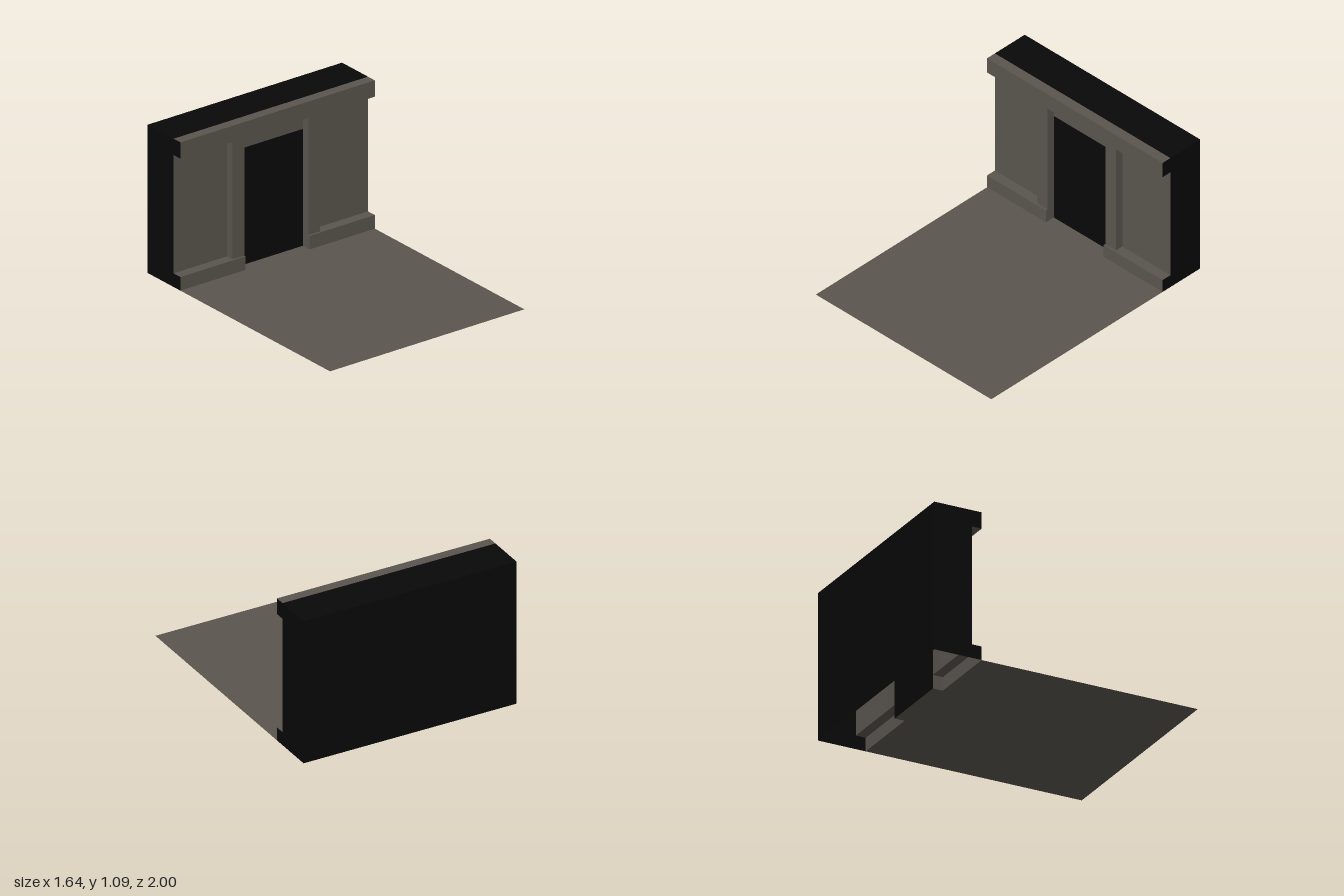
import * as THREE from 'three';

export function createModel() {
  const model = new THREE.Group();
  model.name = 'doorwayWall';

  // Open, thin shells: both sides show
  const stone = new THREE.MeshStandardMaterial({ color: 0x5a554e, side: THREE.DoubleSide });
  stone.name = 'warm grey stone';
  const dark = new THREE.MeshStandardMaterial({ color: 0x080808, side: THREE.DoubleSide });
  dark.name = 'black';

  const HALF = 0.82, TOP = 1.09, BACK = -1, WALL = -0.715, FRONT = -0.64;
  const BASE = 0.1, CORNICE = 0.97, DOOR = 0.27, PILASTER = 0.37, PILASTER_Z = -0.655;

  function add(name, geometry, material, parent = model) {
    const mesh = new THREE.Mesh(geometry, material);
    mesh.name = name;
    parent.add(mesh);
    return mesh;
  }
  // Rectangles facing +z, +y and +x
  function facingZ(name, mat, x0, x1, y0, y1, z, parent) {
    const g = new THREE.PlaneGeometry(x1 - x0, y1 - y0);
    return add(name, g.translate((x0 + x1) / 2, (y0 + y1) / 2, z), mat, parent);
  }
  function facingY(name, mat, x0, x1, z0, z1, y, parent) {
    const g = new THREE.PlaneGeometry(x1 - x0, z1 - z0).rotateX(-Math.PI / 2);
    return add(name, g.translate((x0 + x1) / 2, y, (z0 + z1) / 2), mat, parent);
  }
  function facingX(name, mat, z0, z1, y0, y1, x, parent) {
    const g = new THREE.PlaneGeometry(z1 - z0, y1 - y0).rotateY(Math.PI / 2);
    return add(name, g.translate(x, (y0 + y1) / 2, (z0 + z1) / 2), mat, parent);
  }

  // Floor, reaching into the doorway
  facingY('floor', stone, -HALF, HALF, FRONT, 1, 0);
  facingY('threshold', stone, -DOOR, DOOR, WALL, FRONT, 0);

  // Dark back, top and door opening
  facingZ('wallBack', dark, -HALF, HALF, 0, TOP, BACK).geometry.rotateY(Math.PI).translate(0, 0, 2 * BACK);
  facingY('wallTop', dark, -HALF, HALF, BACK, WALL, TOP);
  facingZ('doorOpening', dark, -DOOR, DOOR, 0, 0.86, WALL);

  // Lintel and cornice
  facingZ('lintel', stone, -DOOR, DOOR, 0.86, CORNICE, WALL + 0.002);
  facingZ('corniceFront', stone, -HALF, HALF, CORNICE, TOP, FRONT);
  facingY('corniceTop', stone, -HALF, HALF, WALL, FRONT, TOP);
  const soffit = facingY('corniceUnderside', stone, -HALF, HALF, WALL, FRONT, 0);
  soffit.rotation.z = Math.PI;
  soffit.position.y = CORNICE;

  // C-shaped end profile: shape x is -z, shape y is up
  const profile = new THREE.Shape([
    [-BACK, 0], [-BACK, TOP], [-FRONT, TOP], [-FRONT, CORNICE],
    [-WALL, CORNICE], [-WALL, BASE], [-FRONT, BASE], [-FRONT, 0],
  ].map(([a, b]) => new THREE.Vector2(a, b)));

  // Panel, pilaster, skirting and end, on both sides
  for (const side of [1, -1]) {
    const half = new THREE.Group();
    half.name = side > 0 ? 'leftHalf' : 'rightHalf';
    half.scale.x = side;
    model.add(half);
    facingZ('wallPanel', stone, PILASTER, HALF, BASE, CORNICE, WALL, half);
    facingZ('pilasterFront', stone, DOOR, PILASTER, BASE, CORNICE, PILASTER_Z, half);
    facingX('pilasterOuterSide', stone, WALL, PILASTER_Z, BASE, CORNICE, PILASTER, half);
    facingX('pilasterInnerSide', stone, WALL, PILASTER_Z, BASE, CORNICE, -DOOR, half).rotation.y = 0;
    half.children[half.children.length - 1].position.x = 2 * DOOR;
    facingZ('skirtingFront', stone, DOOR, HALF, 0, BASE, FRONT, half);
    facingY('skirtingTop', stone, DOOR, HALF, WALL, FRONT, BASE, half);
    facingX('skirtingInnerEnd', stone, WALL, FRONT, 0, BASE, DOOR, half);
    const end = new THREE.ShapeGeometry(profile).rotateY(Math.PI / 2);
    add('wallEnd', end.translate(HALF, 0, 0), dark, half);
  }
  return model;
}
